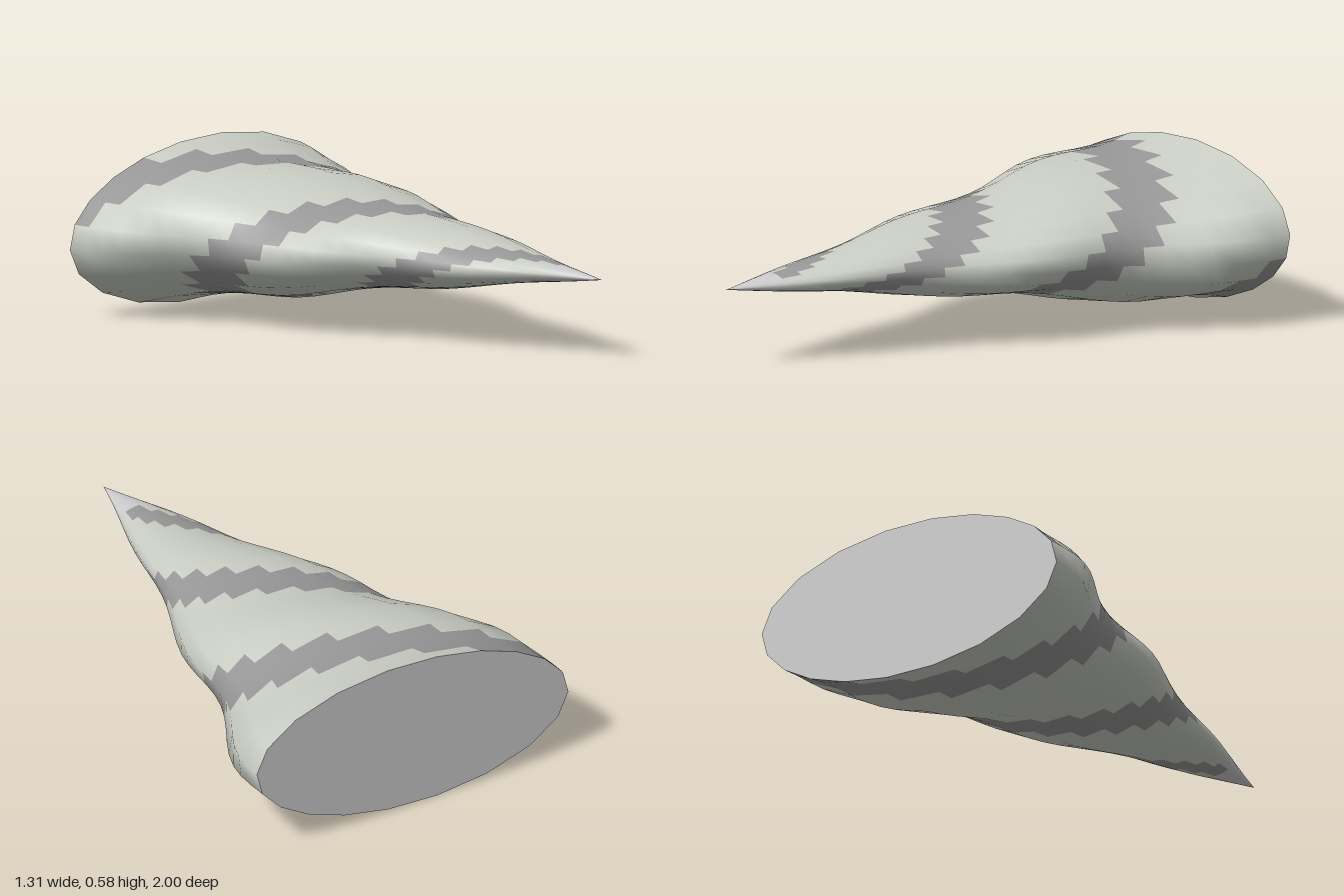
import * as THREE from 'three';

const SIDES = 20, RINGS = 28, TIP_RINGS = 3;
const WIDTH = 0.659, ASPECT = 0.435, CENTRE_Y = 0.293;
const GROOVE = 0.06, TURN = 2 * Math.PI / 0.714, CREST_Z = -0.8;

export function createModel() {
  const group = new THREE.Group();

  // Flattened cone whose two spiral ridges wind clockwise towards the tip
  const points = [];
  for (let j = 0; j <= RINGS; j++) {
    const z = -1 + 2 * j / RINGS;
    for (let i = 0; i < SIDES; i++) {
      const a = (i + 0.5) * 2 * Math.PI / SIDES;
      const r = WIDTH * (1 - z) / 2 * (1 + GROOVE * Math.cos(2 * a + TURN * (z - CREST_Z)));
      points.push(r * Math.cos(a), CENTRE_Y + ASPECT * r * Math.sin(a), z);
    }
  }

  // Sort the facets into shell, spiral bands (three facets wide) and tip
  const faces = { shell: [], spiralBands: [], tip: [] };
  for (let j = 0; j < RINGS; j++) {
    for (let i = 0; i < SIDES; i++) {
      const k = (i + 1) % SIDES;
      const a = j * SIDES + i, b = j * SIDES + k, c = b + SIDES, d = a + SIDES;
      const step = (i + j) % 10;
      const part = j >= RINGS - TIP_RINGS ? 'tip' : step >= 6 && step <= 8 ? 'spiralBands' : 'shell';
      faces[part].push(a, b, c);
      if (j < RINGS - 1) faces[part].push(a, c, d);
    }
  }

  // Smooth normals are shared across the whole surface
  const whole = new THREE.BufferGeometry();
  whole.setAttribute('position', new THREE.Float32BufferAttribute(points, 3));
  whole.setIndex(Object.values(faces).flat());
  whole.computeVertexNormals();

  const add = (name, geometry, color) => {
    const mesh = new THREE.Mesh(geometry, new THREE.MeshStandardMaterial({ color }));
    mesh.name = name;
    group.add(mesh);
  };
  const colors = { shell: 0xc9cdc4, spiralBands: 0x979797, tip: 0xe0e0e0 };
  for (const name in faces) {
    const geometry = whole.clone();
    geometry.setIndex(faces[name]);
    add(name, geometry.toNonIndexed(), colors[name]);
  }

  // Flat cap closing the wide end, facing back
  const fan = [];
  for (let i = 1; i < SIDES - 1; i++) fan.push(0, i + 1, i);
  const indexedCap = whole.clone();
  indexedCap.setIndex(fan);
  const cap = indexedCap.toNonIndexed();
  cap.computeVertexNormals();
  add('backCap', cap, 0xcccccc);

  return group;
}
